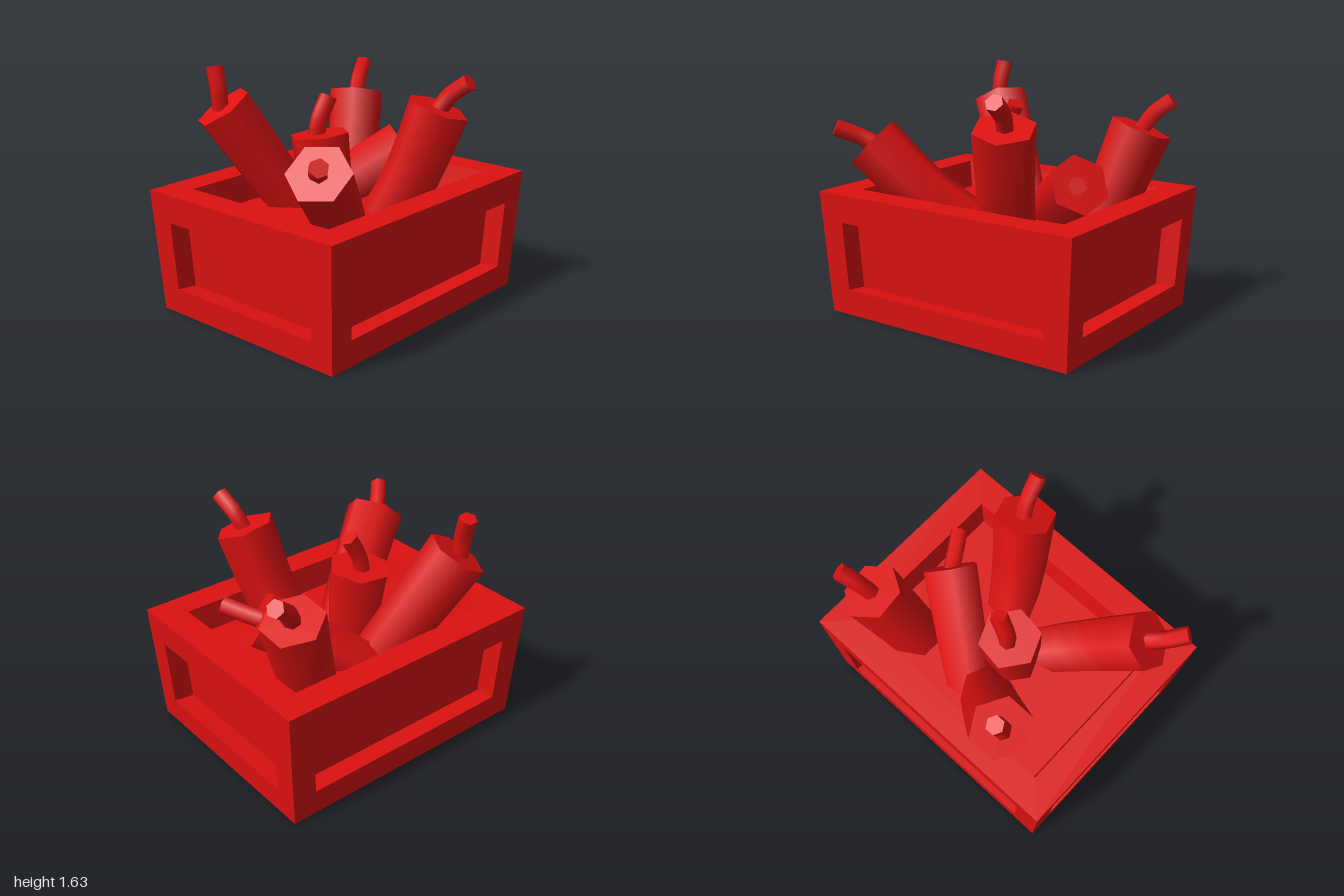
import * as THREE from 'three';

const red = new THREE.MeshStandardMaterial({ color: 0xdd1111 });
const V = (x, y, z) => new THREE.Vector3(x, y, z);

// One crate face: flat frame around a sunken panel, moved by `sink` and shrunk by `taper`.
// Corners run counter-clockwise seen from outside, starting bottom left.
function recessedFace(corners, u, v0, v1, sink, taper) {
  const [a, b, c, d] = corners;
  const at = (s, t) => a.clone().lerp(b, s).lerp(d.clone().lerp(c, s), t);
  const rim = [at(u, v0), at(1 - u, v0), at(1 - u, v1), at(u, v1)];
  const centre = at(0.5, (v0 + v1) / 2);
  const panel = rim.map((p) => p.clone().lerp(centre, taper).add(sink));
  const pts = [];
  const quad = (p, q, r, s) => pts.push(p, q, r, p, r, s);
  for (let i = 0; i < 4; i++) {
    const j = (i + 1) % 4;
    quad(corners[i], corners[j], rim[j], rim[i]);
    quad(rim[i], rim[j], panel[j], panel[i]);
  }
  quad(...panel);
  const g = new THREE.BufferGeometry().setFromPoints(pts);
  g.computeVertexNormals();
  return g;
}

function createCrate() {
  const crate = new THREE.Group();
  crate.name = 'crate';
  const H = 0.845;
  const lo = (sx, sz) => V(0.95 * sx, 0, 0.76 * sz);
  const hi = (sx, sz) => V(sx, H, 0.8 * sz);
  const add = (name, ...args) => {
    const mesh = new THREE.Mesh(recessedFace(...args), red);
    mesh.name = name;
    crate.add(mesh);
  };
  for (const s of [1, -1]) {
    add(s > 0 ? 'frontWall' : 'backWall',
      [lo(-s, s), lo(s, s), hi(s, s), hi(-s, s)], 0.09, 0.213, 0.77, V(0, -0.015, -0.142 * s), 0.004);
    add(s > 0 ? 'leftWall' : 'rightWall',
      [lo(s, s), lo(s, -s), hi(s, -s), hi(s, s)], 0.108, 0.213, 0.77, V(-0.142 * s, -0.015, 0), 0.008);
  }
  add('topTray', [hi(-1, 1), hi(1, 1), hi(1, -1), hi(-1, -1)], 0.1, 0.125, 0.875, V(0, -0.19, 0), 0.043);
  add('underside', [lo(-1, -1), lo(1, -1), lo(1, 1), lo(-1, 1)], 0.085, 0.122, 0.878, V(0, 0.11, 0), 0.03);
  return crate;
}

// Six-sided bent rod with a changing radius and a flat end cap; `corner` points to one edge.
function bentRod(name, points, r0, r1, corner) {
  const group = new THREE.Group();
  group.name = name;
  const steps = 6, sides = 6;
  const curve = new THREE.CatmullRomCurve3(points.map((p) => V(...p)));
  const tube = new THREE.TubeGeometry(curve, steps, r0, sides);
  const { position, normal } = tube.attributes;
  for (let i = 0; i <= steps; i++) {
    const centre = curve.getPointAt(i / steps), axis = curve.getTangentAt(i / steps);
    const start = V(...corner).projectOnPlane(axis).normalize();
    for (let j = 0; j <= sides; j++) {
      const k = i * (sides + 1) + j;
      const n = start.clone().applyAxisAngle(axis, (-2 * Math.PI * j) / sides);
      const p = centre.clone().addScaledVector(n, r0 + ((r1 - r0) * i) / steps);
      position.setXYZ(k, p.x, p.y, p.z);
      normal.setXYZ(k, n.x, n.y, n.z);
    }
  }
  const end = curve.getPoint(1), fan = [];
  const ring = (j) => V(0, 0, 0).fromBufferAttribute(position, steps * (sides + 1) + j);
  for (let j = 0; j < sides; j++) fan.push(end, ring(j + 1), ring(j));
  const cap = new THREE.BufferGeometry().setFromPoints(fan);
  cap.computeVertexNormals();
  const side = new THREE.Mesh(tube, red), lid = new THREE.Mesh(cap, red);
  side.name = name + 'Side';
  lid.name = name + 'Cap';
  group.add(side, lid);
  return group;
}

// Each stick: body path from the buried foot to the cap, a cap corner, then its fuse path
const sticks = [
  { name: 'backRightStick', corner: [0.18, 0.09, -0.02],
    body: [[-0.04, 0.5, -0.29], [-0.27, 0.92, -0.45], [-0.51, 1.35, -0.605]],
    fuse: [[-0.525, 1.33, -0.61], [-0.53, 1.46, -0.62], [-0.52, 1.615, -0.665]] },
  { name: 'frontRightStick', corner: [0.165, 0.14, 0.02],
    body: [[-0.11, 0.52, 0.1], [-0.46, 0.82, 0.34], [-0.775, 1.16, 0.502]],
    fuse: [[-0.75, 1.14, 0.49], [-0.84, 1.195, 0.55], [-0.955, 1.265, 0.67]] },
  { name: 'middleStick', corner: [0.99, 0, 0.14],
    body: [[-0.1, 0.5, -0.04], [-0.105, 0.85, -0.06], [-0.115, 1.175, -0.098]],
    fuse: [[-0.12, 1.15, -0.12], [-0.1, 1.26, -0.115], [-0.02, 1.415, -0.1]] },
  { name: 'lowLeftStick', corner: [-0.09, 0.18, -0.06],
    body: [[-0.08, 0.48, -0.44], [0.27, 0.74, -0.18], [0.59, 0.96, 0.06]],
    fuse: [[0.56, 0.95, 0.04], [0.62, 0.97, 0.14], [0.715, 1.01, 0.29]] },
  { name: 'frontLeftStick', corner: [0.2, -0.02, 0.03],
    body: [[0.16, 0.5, 0.2], [0.255, 0.9, 0.395], [0.345, 1.37, 0.545]],
    fuse: [[0.35, 1.35, 0.54], [0.38, 1.45, 0.6], [0.41, 1.555, 0.735]] },
  { name: 'backLeftStick', corner: [0, 0, -1],
    body: [[0.47, 0.5, -0.34], [0.595, 0.86, -0.41], [0.73, 1.27, -0.49]],
    fuse: [[0.725, 1.25, -0.49], [0.8, 1.37, -0.53], [0.91, 1.46, -0.575]] },
];

export function createModel() {
  const model = new THREE.Group();
  model.name = 'crateOfSticks';
  model.add(createCrate());
  for (const { name, corner, body, fuse } of sticks) {
    const stick = new THREE.Group();
    stick.name = name;
    stick.add(bentRod('stickBody', body, 0.175, 0.208, corner), bentRod('fuse', fuse, 0.058, 0.06, [1, 0, 0]));
    model.add(stick);
  }
  return model;
}
